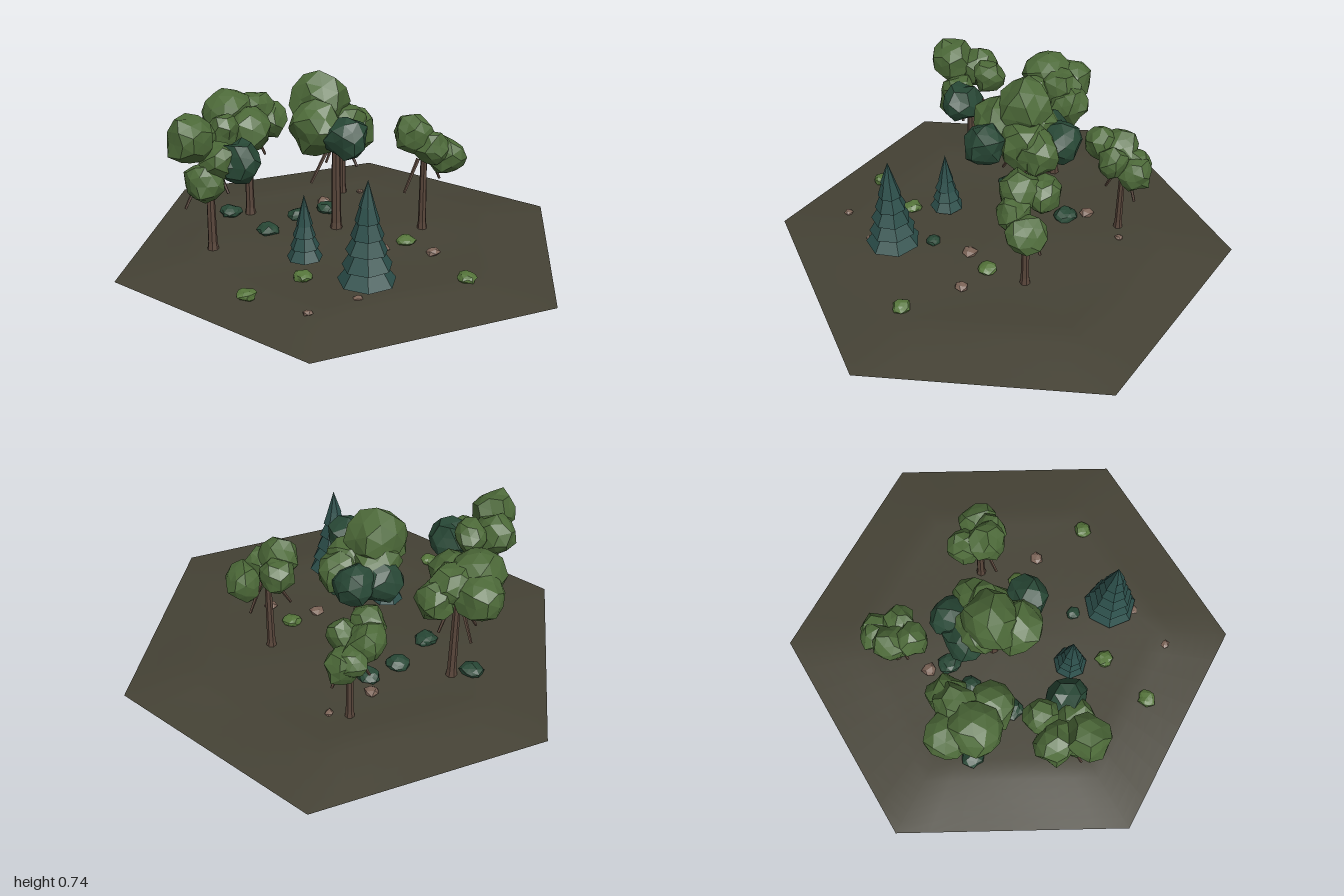
import * as THREE from 'three';
import { mergeVertices } from 'three/addons/utils/BufferGeometryUtils.js';

const mat = (name, color, extra = {}) => {
  const m = new THREE.MeshStandardMaterial({ color, flatShading: true, ...extra });
  m.name = name;
  return m;
};
const M = {
  ground: mat('soil', 0x454235, { flatShading: false, side: THREE.DoubleSide }),
  leaf: mat('leaf green', 0x4d6a39),
  dark: mat('deep green', 0x284836),
  pine: mat('pine teal', 0x2c4f4b),
  bark: mat('bark brown', 0x59463b),
  rock: mat('rock brown', 0x7d6558),
  bush: mat('bush green', 0x56763b),
};
const TOP = 0.028;

// Repeatable pseudo-random value from a position
const hash = (x, y, z) => {
  const s = Math.sin(x * 12.99 + y * 78.23 + z * 37.72) * 43758.55;
  return s - Math.floor(s);
};

function add(parent, name, geometry, material) {
  const mesh = new THREE.Mesh(geometry, material);
  mesh.name = name;
  parent.add(mesh);
  return mesh;
}

// Irregular faceted lump: a sphere whose corners move in and out
function lump(parent, name, material, [x, y, z], r, squash = 1, detail = 1) {
  const g = new THREE.IcosahedronGeometry(1, detail);
  const p = g.attributes.position;
  const q = (v) => Math.round(v * 100) / 100 + 0;
  for (let i = 0; i < p.count; i++) {
    const a = q(p.getX(i)), b = q(p.getY(i)), c = q(p.getZ(i));
    const k = 0.84 + 0.3 * hash(a + x, b + y, c + z);
    p.setXYZ(i, a * k, b * k, c * k);
  }
  g.rotateY(x * 17 + z * 9);
  g.scale(r, r * squash, r);
  g.computeVertexNormals();
  add(parent, name, g, material).position.set(x, y, z);
}

// Tapered rod between two points
function rod(parent, name, a, b, r0, r1, sides) {
  const from = new THREE.Vector3(...a), dir = new THREE.Vector3(...b).sub(from);
  const mesh = add(parent, name, new THREE.CylinderGeometry(r1, r0, dir.length(), sides), M.bark);
  mesh.position.copy(from).addScaledVector(dir, 0.5);
  mesh.quaternion.setFromUnitVectors(new THREE.Vector3(0, 1, 0), dir.normalize());
}

// Broadleaf tree: trunk, hanging branches spread evenly round it, leaf lumps at given centres
function leafTree(parent, x, z, h, branches, size, leaves, dark = []) {
  const tree = new THREE.Group();
  tree.name = 'leafTree';
  parent.add(tree);
  const r = h * 0.045;
  rod(tree, 'trunk', [x, 0.02, z], [x, h, z], r, r * 0.7, 7);
  rod(tree, 'trunkFlare', [x, 0.015, z], [x, 0.07, z], r * 1.3, r * 0.9, 7);
  for (let i = 0; i < branches; i++) {
    const a = Math.PI + i * Math.PI * 2 / branches + 0.3, reach = h * (0.25 - 0.03 * i);
    const dx = reach * Math.cos(a), dz = reach * Math.sin(a), y = h * (0.52 + 0.06 * i);
    rod(tree, 'branch', [x + dx, y, z + dz], [x + dx * 0.3, y + 0.14, z + dz * 0.3], 0.006, 0.009, 5);
  }
  // The first lump is the largest
  leaves.forEach((c, i) => lump(tree, 'leafCluster', M.leaf, c, size * (1 - 0.06 * i), 1.05));
  for (const c of dark) lump(tree, 'darkLeafCluster', M.dark, c, 0.09);
}

// Tiers of seven-sided cones on a short trunk
function conifer(parent, x, z, base, tip, radius, tiers) {
  const tree = new THREE.Group();
  tree.name = 'conifer';
  tree.position.set(x, 0, z);
  parent.add(tree);
  rod(tree, 'trunk', [0, 0.015, 0], [0, base + 0.05, 0], radius * 0.2, radius * 0.16, 6);
  const step = (tip - base) / (tiers + 0.7);
  for (let i = 0; i < tiers; i++) {
    const r = radius * (1 - 0.72 * i / (tiers - 1)), h = step * 1.7;
    const g = new THREE.CylinderGeometry(i === tiers - 1 ? 0 : r * 0.35, r, h, 7);
    g.rotateY(i * 0.9);
    g.rotateZ(0.05 * Math.sin(i * 2.3));
    add(tree, 'needleTier', g, M.pine).position.y = base + i * step + h / 2;
  }
}

// Six-sided plate, level in the middle and sloping to a thin edge
function ground(parent) {
  let g = new THREE.RingGeometry(0.001, 1, 48, 20, Math.PI / 2);
  g.deleteAttribute('uv');
  g.deleteAttribute('normal');
  g.rotateX(-Math.PI / 2);
  const p = g.attributes.position, side = Math.PI / 3;
  for (let i = 0; i < p.count; i++) {
    const x = p.getX(i), z = p.getZ(i), t = Math.hypot(x, z);
    const a = Math.atan2(x, z) + 2 * Math.PI + 1e-6;
    const k = Math.cos(side / 2) / Math.cos((a % side) - side / 2);
    const rise = Math.min(1, (1 - t) / 0.3);
    const y = rise * (TOP + 0.004 * Math.sin(x * 5 + 1) * Math.cos(z * 6));
    p.setXYZ(i, x * k, Math.max(0, y), z * k);
  }
  g = mergeVertices(g, 1e-5);
  g.computeVertexNormals();
  add(parent, 'ground', g, M.ground);
}

// Low bushes and stones resting on the ground at [x, z]
function scatter(parent, name, material, r, detail, spots) {
  for (const [x, z] of spots)
    lump(parent, name, material, [x, TOP + r * 0.25, z], r, 0.55, detail);
}

export function createModel() {
  const model = new THREE.Group();
  model.name = 'forestTile';
  ground(model);

  // Broadleaf trees
  leafTree(model, -0.45, -0.36, 0.46, 3, 0.095,
    [[-0.55, 0.54, -0.36], [-0.45, 0.5, -0.43], [-0.51, 0.36, -0.33], [-0.46, 0.44, -0.29], [-0.35, 0.52, -0.37]],
    [[-0.4, 0.43, -0.24]]);
  leafTree(model, -0.065, -0.5, 0.46, 4, 0.108,
    [[-0.14, 0.52, -0.54], [-0.15, 0.46, -0.42], [-0.06, 0.49, -0.6], [-0.03, 0.51, -0.49], [0.03, 0.46, -0.46]]);
  leafTree(model, 0.035, -0.08, 0.52, 3, 0.12,
    [[0, 0.6, -0.14], [-0.09, 0.53, -0.09], [0.07, 0.49, -0.06], [0.04, 0.52, -0.17], [0.13, 0.47, -0.06]],
    [[-0.06, 0.5, 0.05], [0.17, 0.48, -0.17], [0.08, 0.47, -0.22]]);
  leafTree(model, 0.395, -0.32, 0.38, 2, 0.08,
    [[0.35, 0.41, -0.37], [0.45, 0.34, -0.33], [0.28, 0.43, -0.32], [0.37, 0.4, -0.27], [0.44, 0.37, -0.37]]);
  leafTree(model, 0.265, 0.22, 0.42, 2, 0.086,
    [[0.21, 0.47, 0.2], [0.32, 0.37, 0.3], [0.29, 0.45, 0.14], [0.24, 0.42, 0.27]]);

  conifer(model, -0.335, 0.355, 0.055, 0.47, 0.118, 6);
  conifer(model, -0.305, 0.02, 0.045, 0.32, 0.075, 5);

  scatter(model, 'bush', M.bush, 0.04, 1, [[-0.68, 0.04], [-0.43, 0.115], [0.095, 0.25], [-0.053, 0.635]]);
  scatter(model, 'darkBush', M.dark, 0.05, 1, [[-0.175, -0.29], [0.03, -0.29], [0.17, -0.24], [-0.13, -0.56]]);
  scatter(model, 'smallDarkBush', M.dark, 0.031, 1, [[-0.205, 0.24]]);
  scatter(model, 'rock', M.rock, 0.033, 0, [[-0.03, 0.21], [0.07, 0.4], [0.235, -0.31]]);
  scatter(model, 'pebble', M.rock, 0.02, 0, [[-0.64, 0.31], [-0.44, 0.39], [0.44, -0.25]]);
  return model;
}
